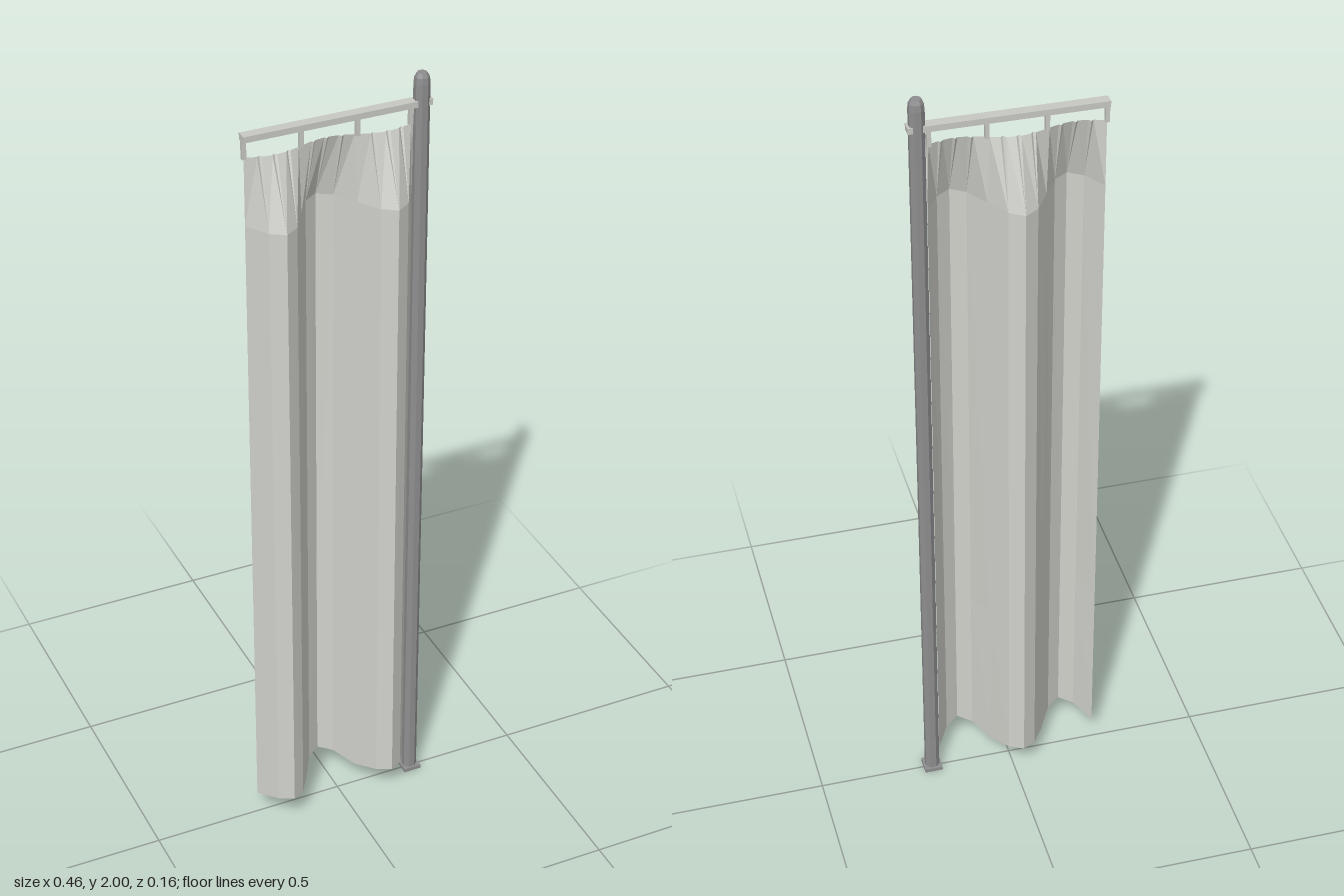
import * as THREE from 'three';

export function createModel() {
  const group = new THREE.Group();
  const cloth = new THREE.MeshStandardMaterial({ color: 0xd0d0cb, flatShading: true, side: THREE.DoubleSide });
  cloth.name = 'curtain cloth';
  const steel = new THREE.MeshStandardMaterial({ color: 0x8e8e90, flatShading: true });
  steel.name = 'grey steel';
  const light = new THREE.MeshStandardMaterial({ color: 0xc8c8c3, flatShading: true });
  light.name = 'light metal';

  function add(name, geometry, material, x = 0, y = 0, z = 0) {
    const mesh = new THREE.Mesh(geometry, material);
    mesh.name = name;
    mesh.position.set(x, y, z);
    group.add(mesh);
  }

  // Post: octagonal shaft with a chamfered cap, on a square foot
  const profile = [[0, 0.005], [0.0192, 0.005], [0.0192, 1.975], [0.0175, 1.99], [0.012, 2], [0, 2]];
  const post = new THREE.LatheGeometry(profile.map(([r, y]) => new THREE.Vector2(r, y)), 8);
  post.rotateY(Math.PI / 8);
  add('post', post, steel, 0.207);
  add('foot', new THREE.BoxGeometry(0.046, 0.01, 0.046), steel, 0.207, 0.005);

  // Rail and the hangers between rail and curtain
  add('rail', new THREE.BoxGeometry(0.46, 0.015, 0.026), light, 0, 1.928, -0.001);
  const startX = -0.226, halfFold = 0.1375;
  for (let i = 0; i < 4; i++) {
    const x = startX + i * halfFold + (i === 3 ? -0.006 : 0);
    add('hanger', new THREE.BoxGeometry(0.01, 0.046, 0.01), light, x, 1.9, 0);
  }

  // Curtain: three half folds of four flat strips each
  const strips = 12;
  const wave = (k) => Math.sin((k * Math.PI) / 4);
  // straight line between neighbouring strip edges, so strips stay flat
  const fold = (k) => {
    const a = Math.floor(k);
    return wave(a) + (wave(a + 1) - wave(a)) * (k - a);
  };
  const columns = [];
  for (let i = 0; i < strips; i++) columns.push(i, i + 0.17, i + 0.83);
  columns.push(strips);

  // Rows run from the gathered header to the hem; small darts narrow to points below it
  const rows = [
    { y: 1.88, depth: 0.016, dart: 0.006 },
    { y: 1.71, depth: 0.077, dart: 0 },
    { y: 0.5, depth: 0.081, dart: 0 },
    { y: 0.06, depth: 0.082, dart: 0, hem: 0.02 },
  ];
  const point = (row, k) => {
    const nearest = Math.round(k);
    const onCrease = k === nearest;
    const side = Math.sign(Math.round(fold(k) * 100));
    const dart = onCrease && nearest % 4 !== 0 ? row.dart * side : 0;
    // below the header the dart edges close onto the crease
    const u = row.dart ? k : nearest;
    return [
      startX + (u * halfFold) / 4,
      row.y + (row.hem || 0) * Math.abs(fold(u)),
      row.depth * fold(u) - dart,
    ];
  };
  const vertices = [];
  for (let r = 0; r < rows.length - 1; r++) {
    // the header uses every column, the plain cloth only the strip edges
    const step = r === 0 ? 1 : 3;
    for (let c = 0; c + step < columns.length; c += step) {
      const a = point(rows[r], columns[c]);
      const b = point(rows[r], columns[c + step]);
      const d = point(rows[r + 1], columns[c]);
      const e = point(rows[r + 1], columns[c + step]);
      vertices.push(...a, ...d, ...b);
      if (Math.abs(e[0] - d[0]) > 1e-6) vertices.push(...b, ...d, ...e);
    }
  }
  const curtain = new THREE.BufferGeometry();
  curtain.setAttribute('position', new THREE.Float32BufferAttribute(vertices, 3));
  curtain.computeVertexNormals();
  add('curtain', curtain, cloth);

  return group;
}
